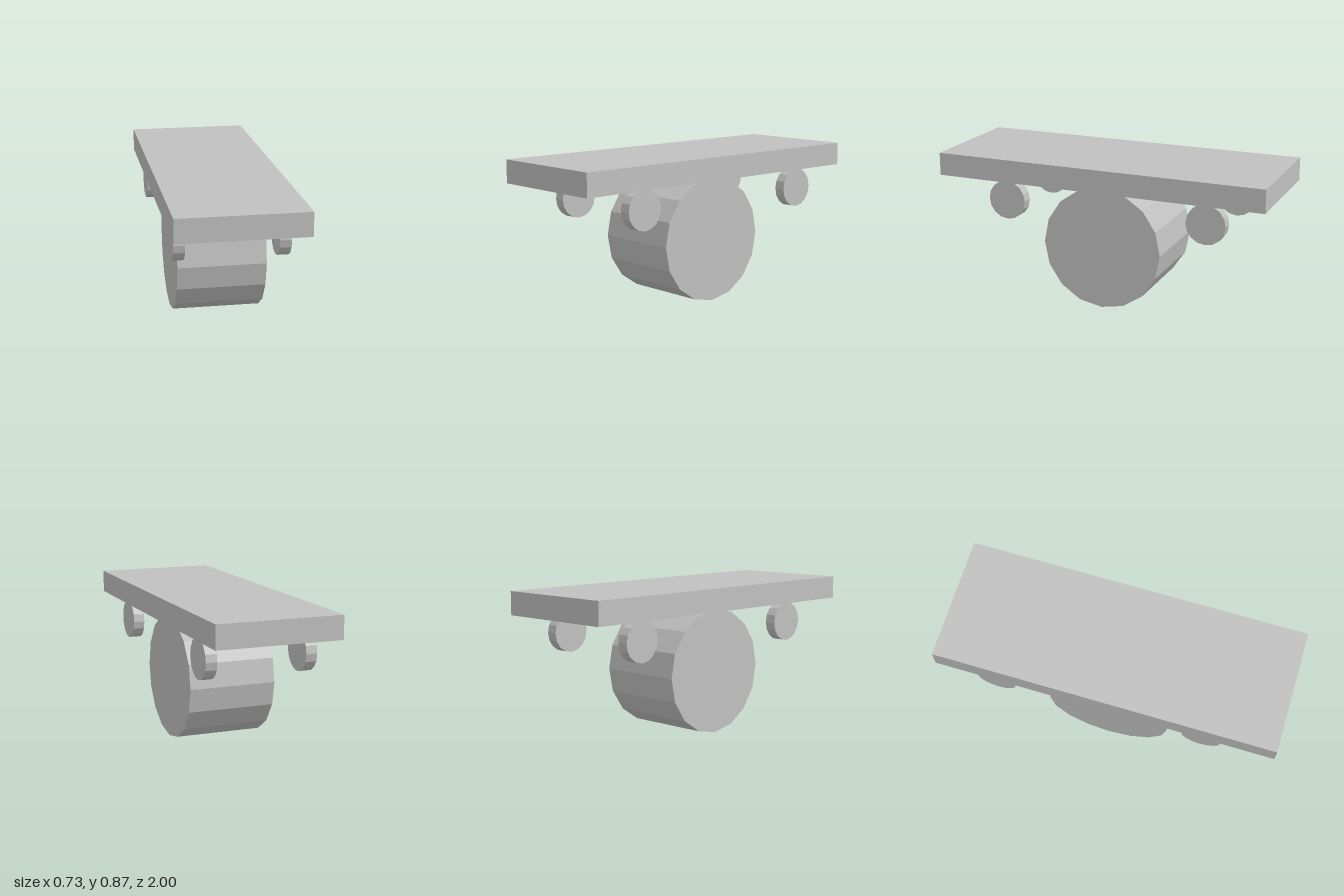
import * as THREE from 'three';

export function createModel() {
  const model = new THREE.Group();
  const grey = new THREE.MeshStandardMaterial({ color: 0xc0c0c0, flatShading: true });
  grey.name = 'light grey';

  const add = (name, geometry, x, y, z) => {
    const mesh = new THREE.Mesh(geometry, grey);
    mesh.name = name;
    mesh.position.set(x, y, z);
    model.add(mesh);
  };

  // Sixteen-sided wheel with its axle along x
  const wheel = (radius, width) =>
    new THREE.CylinderGeometry(radius, radius, width, 16).rotateZ(Math.PI / 2);

  // Flat deck on top
  add('deck', new THREE.BoxGeometry(0.726, 0.135, 2), 0, 0.7975, 0);

  // Wide central roller carrying the deck
  add('mainWheel', wheel(0.365, 0.52), 0, 0.365, 0);

  // Four thin side wheels under the deck
  const sideWheel = wheel(0.1165, 0.066);
  for (const [side, x] of [['Left', 0.293], ['Right', -0.293]]) {
    add('front' + side + 'Wheel', sideWheel, x, 0.6135, 0.575);
    add('back' + side + 'Wheel', sideWheel, x, 0.6135, -0.655);
  }

  return model;
}
